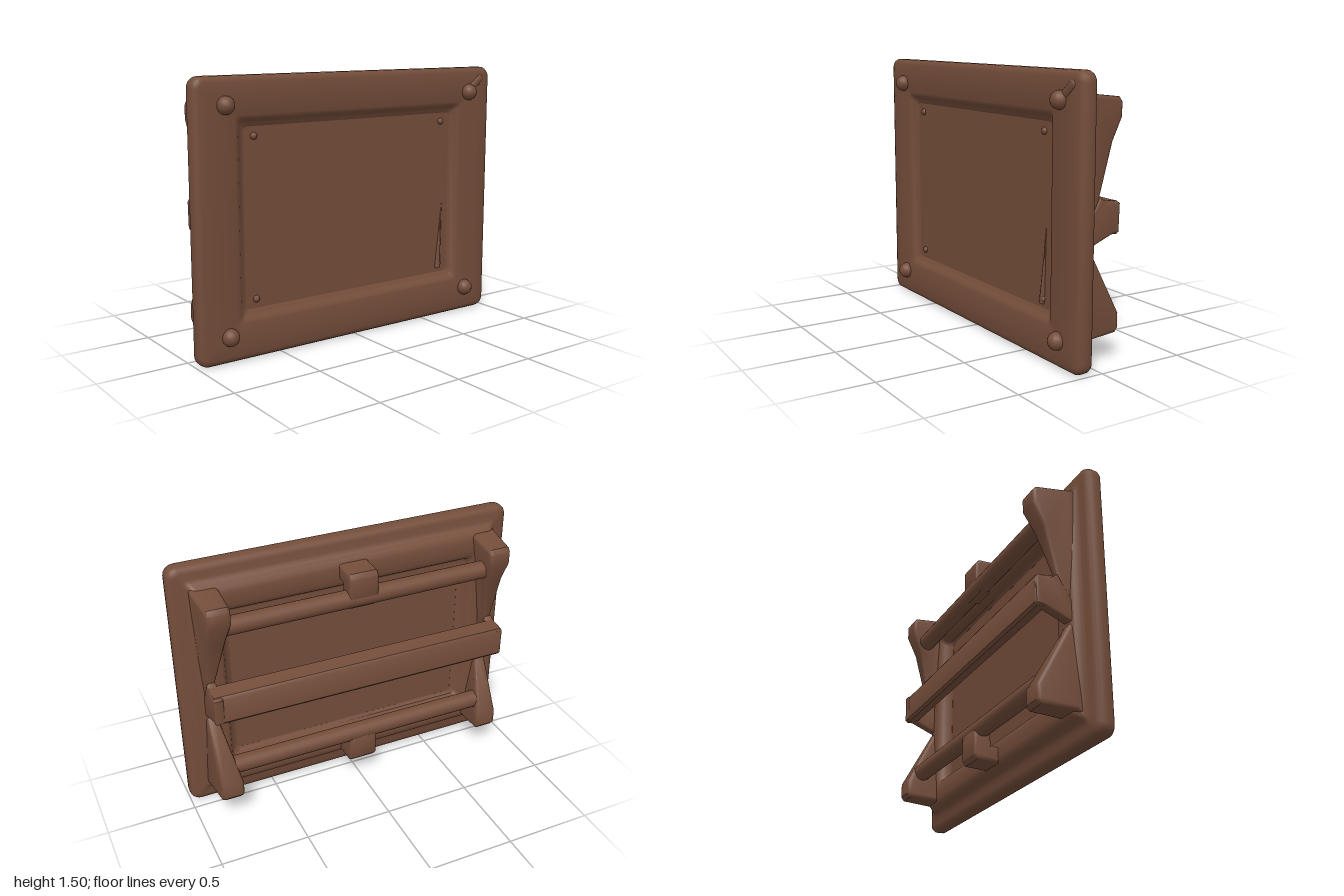
import * as THREE from 'three';
import { toCreasedNormals } from 'three/addons/utils/BufferGeometryUtils.js';

const MID = 0.75; // half the height

// Sweep a closed (side inset, top inset, z) profile around a rounded rectangle
function frameGeometry(profile, halfW, halfH) {
  const steps = 5, ring = 4 * (steps + 1), pos = [], index = [];
  for (const [insetX, insetY, z] of profile) {
    const r = Math.max(0.025, 0.06 - insetY);
    const cx = halfW - insetX - r, cy = halfH - insetY - r;
    [[1, 1], [-1, 1], [-1, -1], [1, -1]].forEach(([sx, sy], q) => {
      for (let i = 0; i <= steps; i++) {
        const a = (q + i / steps) * Math.PI / 2;
        pos.push(sx * cx + r * Math.cos(a), MID + sy * cy + r * Math.sin(a), z);
      }
    });
  }
  const n = profile.length;
  for (let p = 0; p < n; p++) {
    for (let i = 0; i < ring; i++) {
      const j = (i + 1) % ring, q = (p + 1) % n;
      const a = p * ring + i, b = p * ring + j, c = q * ring + j, d = q * ring + i;
      index.push(a, b, c, a, c, d);
    }
  }
  const g = new THREE.BufferGeometry();
  g.setAttribute('position', new THREE.Float32BufferAttribute(pos, 3));
  g.setIndex(index);
  return toCreasedNormals(g, 0.8);
}

// Side profile of (depth behind z = 0, y), extruded from x0 to x1 with soft edges
function sideExtrude(points, x0, x1, bevel) {
  const g = new THREE.ExtrudeGeometry(new THREE.Shape(points.map(p => new THREE.Vector2(...p))), {
    depth: x1 - x0 - 2 * bevel, bevelThickness: bevel, bevelSize: bevel,
    bevelOffset: -bevel, bevelSegments: 3,
  });
  g.translate(0, 0, x0 + bevel);
  g.rotateY(Math.PI / 2);
  return g;
}

// Narrow a bracket in x toward the middle of the height, and lean its outside in toward the back
function taper(g) {
  const p = g.attributes.position;
  for (let i = 0; i < p.count; i++) {
    const t = THREE.MathUtils.clamp((Math.abs(p.getY(i) - MID) - 0.1) / 0.38, 0, 1);
    const x = 0.865 + (p.getX(i) - 0.865) * (0.3 + 0.7 * t);
    p.setX(i, x > 0.85 ? x + 0.1 * Math.min(p.getZ(i), 0) : x);
  }
  return g;
}

// Mirrored copy in x, with the corner order reversed
function mirrorX(g) {
  const m = g.clone().scale(-1, 1, 1);
  const p = m.attributes.position;
  const a = new THREE.Vector3(), b = new THREE.Vector3();
  for (let i = 0; i < p.count; i += 3) {
    a.fromBufferAttribute(p, i + 1);
    b.fromBufferAttribute(p, i + 2);
    p.setXYZ(i + 1, b.x, b.y, b.z);
    p.setXYZ(i + 2, a.x, a.y, a.z);
  }
  return m;
}

const mirrorY = points => points.map(([u, y]) => [u, 2 * MID - y]).reverse();

export function createModel() {
  const model = new THREE.Group();
  const brown = new THREE.MeshStandardMaterial({ color: 0x744d3a });
  brown.name = 'brown';

  const add = (name, geometry, x = 0, y = 0, z = 0) => {
    const mesh = new THREE.Mesh(geometry, brown);
    mesh.name = name;
    mesh.position.set(x, y, z);
    model.add(mesh);
    return mesh;
  };

  // Moulded border, with a raised step on the back
  add('frame', frameGeometry([
    [0, 0, 0.1], [0.002, 0.002, 0.125], [0.012, 0.012, 0.141], [0.035, 0.035, 0.148],
    [0.1, 0.1, 0.149], [0.23, 0.2, 0.147], [0.25, 0.22, 0.14], [0.265, 0.235, 0.124],
    [0.28, 0.25, 0.113], [0.3, 0.27, 0.106], [0.3, 0.3, 0.06], [0.275, 0.28, 0.05],
    [0.26, 0.272, 0.02], [0.25, 0.26, 0], [0.23, 0.235, -0.012], [0.16, 0.16, -0.012],
    [0.125, 0.125, -0.005], [0.11, 0.11, 0.015], [0.095, 0.095, 0.038], [0.075, 0.075, 0.047],
    [0.04, 0.04, 0.05], [0.012, 0.012, 0.058], [0.002, 0.002, 0.075],
  ], 1, 0.75));

  // Recessed panel
  add('panel', new THREE.BoxGeometry(1.46, 1.0, 0.047), 0, MID, 0.0845);

  // Front studs and small panel pins
  const stud = new THREE.SphereGeometry(0.048, 16, 12);
  const pin = new THREE.SphereGeometry(0.02, 10, 8);
  for (const x of [-1, 1]) {
    for (const y of [-1, 1]) {
      add('stud', stud, x * 0.823, MID + y * 0.603, 0.154);
      add('panelPin', pin, x * 0.64, MID + y * 0.435, 0.106);
    }
  }

  // Low ridges: one from a stud to the frame corner, one on the panel
  const cornerRidge = add('cornerRidge', new THREE.CapsuleGeometry(0.035, 0.11, 4, 12), 0.872, 1.396, 0.124);
  cornerRidge.rotation.z = -0.9;
  const panelRidge = add('panelRidge', new THREE.ConeGeometry(0.018, 0.42, 8), 0.65, 0.5, 0.108);
  panelRidge.rotation.z = -0.07;

  // Wedge brackets and bar cleats on both sides of the back
  const upper = [
    [-0.04, 1.39], [0.0, 1.38], [0.18, 1.36], [0.2, 1.335], [0.2, 1.26],
    [0.14, 1.14], [0.07, 0.87], [0.01, 0.62], [-0.04, 0.62],
  ];
  const lower = [
    [-0.04, 0.62], [0.01, 0.6], [0.2, 0.25], [0.2, 0.17], [0.18, 0.147], [0.0, 0.14], [-0.04, 0.12],
  ];
  const cleat = [
    [-0.03, 0.62], [0.0, 0.61], [0.15, 0.67], [0.19, 0.675], [0.195, 0.825], [0.18, 0.835],
    [0.11, 0.835], [0.07, 0.865], [-0.03, 0.7],
  ];
  const sideParts = [
    ['upperBracket', taper(sideExtrude(upper, 0.75, 0.9, 0.02))],
    ['lowerBracket', taper(sideExtrude(lower, 0.75, 0.9, 0.02))],
    ['barCleat', sideExtrude(cleat, 0.825, 0.88, 0.012)],
  ];
  for (const [name, g] of sideParts) {
    add(name, toCreasedNormals(g, 0.7));
    add(name, toCreasedNormals(mirrorX(g), 0.7));
  }

  // Round rails between the brackets
  const rail = new THREE.CylinderGeometry(0.051, 0.051, 1.56, 20);
  rail.rotateZ(Math.PI / 2);
  add('upperRail', rail, 0, 1.207, -0.102);
  add('lowerRail', rail, 0, 0.315, -0.102);

  // Wedge-shaped bar across the middle of the back, set slightly askew
  const barProfile = [
    [0.13, 0.67], [0.18, 0.665], [0.193, 0.68], [0.193, 0.82], [0.18, 0.838], [0.09, 0.85], [0.08, 0.835],
  ];
  const bar = add('middleBar', toCreasedNormals(sideExtrude(barProfile, -0.875, 0.875, 0.006), 0.7));
  bar.rotation.y = -0.006;

  // Centre lugs tying each rail to the frame
  const lug = [
    [-0.03, 1.38], [0.01, 1.37], [0.13, 1.365], [0.15, 1.34], [0.15, 1.2], [0.12, 1.155],
    [0.06, 1.16], [0.05, 1.28], [-0.03, 1.28],
  ];
  for (const [name, points] of [['upperLug', lug], ['lowerLug', mirrorY(lug)]]) {
    add(name, toCreasedNormals(sideExtrude(points, -0.09, 0.08, 0.015), 0.7));
  }

  return model;
}
